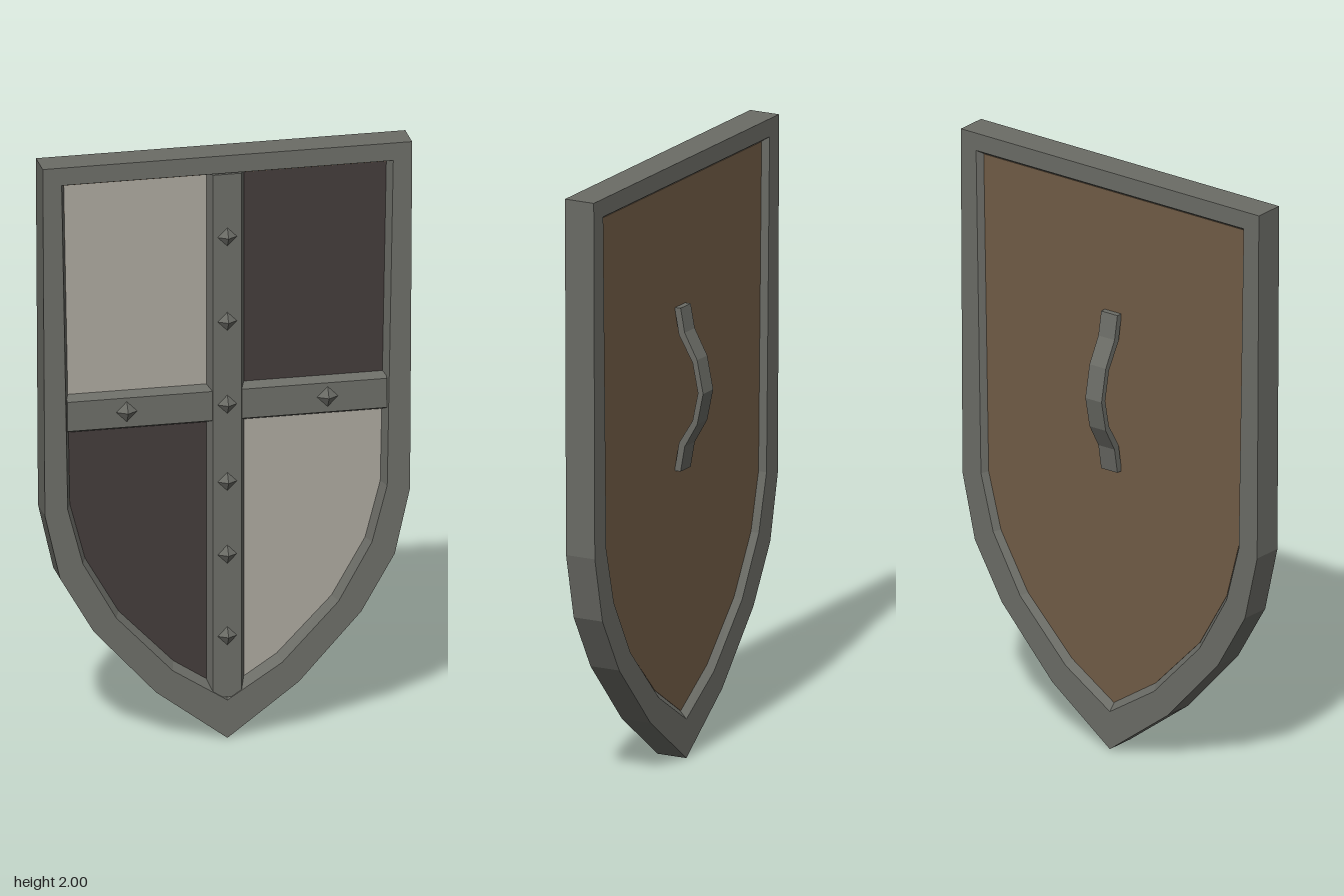
import * as THREE from 'three';

const metal = new THREE.MeshStandardMaterial({ color: 0x6b6c66 });
metal.name = 'metal';
const pale = new THREE.MeshStandardMaterial({ color: 0xaaa69c });
pale.name = 'palePaint';
const dark = new THREE.MeshStandardMaterial({ color: 0x433b3a });
dark.name = 'darkPaint';
const wood = new THREE.MeshStandardMaterial({ color: 0x715c46 });
wood.name = 'wood';

// Half outlines, from the bottom tip up to the top corner
const OUTER = [[0, 0], [0.235, 0.175], [0.44, 0.4], [0.55, 0.59], [0.6, 0.81], [0.607, 2]];
const LIP = [[0, 0.13], [0.18, 0.245], [0.365, 0.44], [0.475, 0.635], [0.525, 0.825], [0.545, 1.94]];
const INNER = [[0, 0.155], [0.17, 0.265], [0.35, 0.45], [0.46, 0.64], [0.51, 0.83], [0.53, 1.925]];
const CROSS_Y = 1.145;

const mirrored = (half) => [...half, ...half.slice(1).reverse().map(([x, y]) => [-x, y])];
const toShape = (pts) => new THREE.Shape(pts.map(([x, y]) => new THREE.Vector2(x, y)));

// Flat-faced ring skinned through closed loops; the last loop joins the first
function ringGeometry(sections) {
  const pos = [];
  sections.forEach(([half, za], k) => {
    const [nextHalf, zb] = sections[(k + 1) % sections.length];
    const a = mirrored(half), b = mirrored(nextHalf);
    a.forEach((p, i) => {
      const j = (i + 1) % a.length;
      const A = [...p, za], B = [...a[j], za], C = [...b[j], zb], D = [...b[i], zb];
      pos.push(...A, ...B, ...C, ...A, ...C, ...D);
    });
  });
  const g = new THREE.BufferGeometry();
  g.setAttribute('position', new THREE.Float32BufferAttribute(pos, 3));
  g.computeVertexNormals();
  return g;
}

// Bevelled strip running along y from bottom to top
function stripGeometry(bottom, top, halfBase, halfFace, z0, z1) {
  const s = toShape([[-halfBase, z0], [halfBase, z0], [halfFace, z1], [-halfFace, z1]]);
  return new THREE.ExtrudeGeometry(s, { depth: top - bottom, bevelEnabled: false })
    .rotateX(Math.PI / 2).translate(0, top, 0);
}

export function createModel() {
  const shield = new THREE.Group();
  shield.name = 'shield';
  const add = (name, geometry, material) => {
    const m = new THREE.Mesh(geometry, material);
    m.name = name;
    shield.add(m);
    return m;
  };

  // Rim with bevelled inner edges on both faces
  add('rim', ringGeometry([
    [OUTER, -0.023], [OUTER, 0.083], [LIP, 0.083], [INNER, 0.045], [INNER, 0.0], [LIP, -0.023],
  ]), metal);

  // Wooden board, bare on the back
  add('board', new THREE.ExtrudeGeometry(toShape(mirrored(INNER)), { depth: 0.045, bevelEnabled: false })
    .translate(0, 0, -0.002), wood);

  // Painted quarters on the front
  for (const s of [1, -1]) {
    const side = s > 0 ? 'Left' : 'Right';
    const [cx, cy] = INNER[INNER.length - 1];
    const upper = [[0, CROSS_Y], [s * 0.516, CROSS_Y], [s * cx, cy], [0, cy]];
    const lower = [...INNER.slice(0, -1), [0.516, CROSS_Y], [0, CROSS_Y]].map(([x, y]) => [s * x, y]);
    add('upperPanel' + side, new THREE.ShapeGeometry(toShape(upper)).translate(0, 0, 0.046), s > 0 ? dark : pale);
    add('lowerPanel' + side, new THREE.ShapeGeometry(toShape(lower)).translate(0, 0, 0.046), s > 0 ? pale : dark);
  }

  // Cross straps
  add('verticalStrap', stripGeometry(0.14, 1.935, 0.064, 0.047, 0.04, 0.081), metal);
  add('horizontalStrap', stripGeometry(-0.525, 0.525, 0.068, 0.05, 0.04, 0.079)
    .rotateZ(Math.PI / 2).translate(0, CROSS_Y - 0.003, 0), metal);

  // Pyramid studs
  const stud = new THREE.ConeGeometry(0.036, 0.024, 4).toNonIndexed();
  stud.computeVertexNormals();
  stud.rotateX(Math.PI / 2);
  const spots = [1.72, 1.43, CROSS_Y, 0.88, 0.63, 0.35].map((y) => [0, y]);
  spots.push([-0.33, CROSS_Y], [0.33, CROSS_Y]);
  for (const [x, y] of spots) add('stud', stud, metal).position.set(x, y, 0.09);

  // Bowed grip on the back, as a side profile in z and y
  const grip = [
    [0, 1.51], [-0.022, 1.51], [-0.037, 1.43], [-0.083, 1.345], [-0.105, 1.235],
    [-0.083, 1.13], [-0.037, 1.05], [-0.022, 0.965], [0, 0.965],
    [-0.016, 1.06], [-0.066, 1.14], [-0.086, 1.235], [-0.066, 1.335], [-0.016, 1.42],
  ];
  add('grip', new THREE.ExtrudeGeometry(toShape(grip), { depth: 0.066, bevelEnabled: false })
    .rotateY(-Math.PI / 2).translate(0.036, 0, 0), metal);

  return shield;
}
